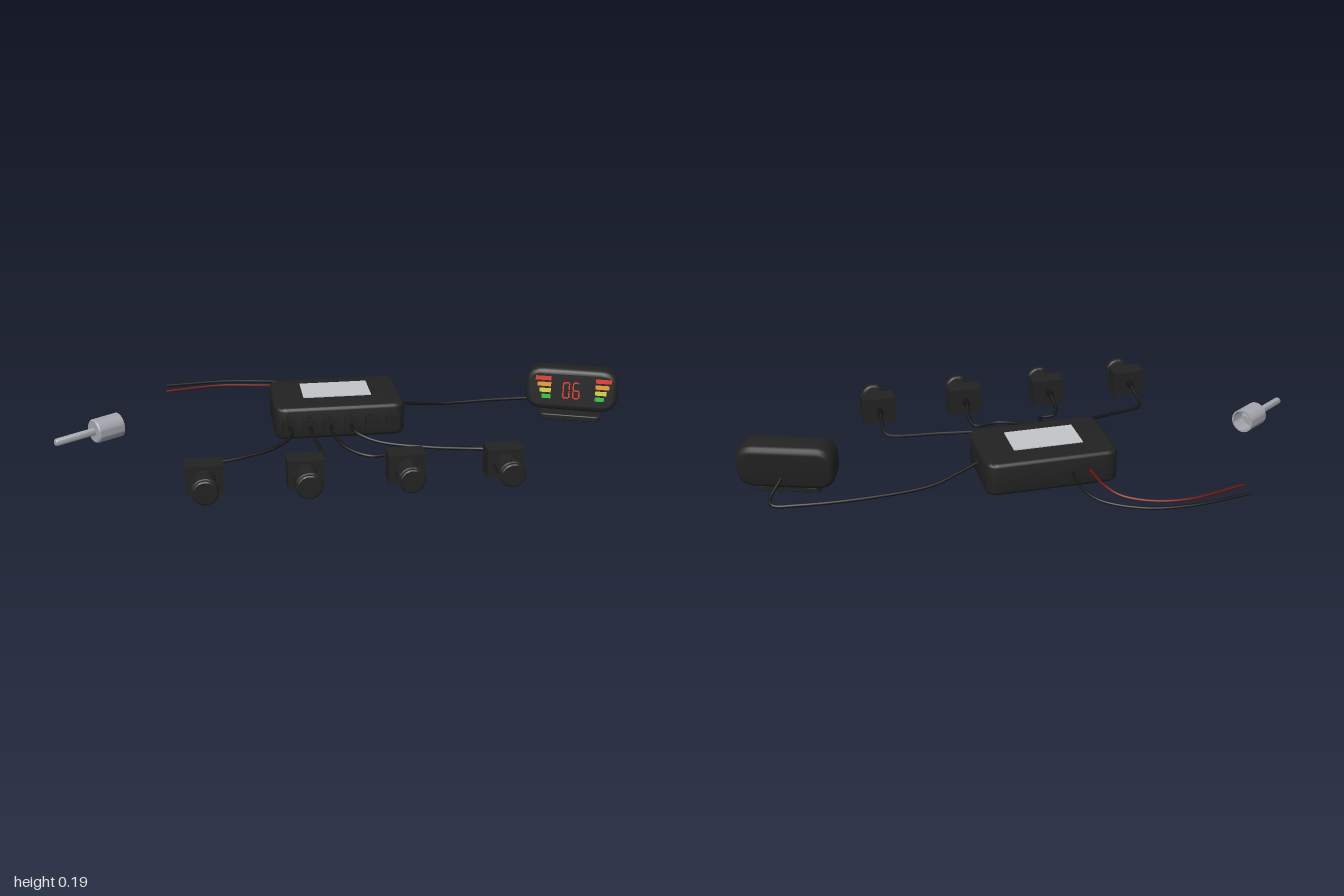
import * as THREE from 'three';
import { toCreasedNormals } from 'three/addons/utils/BufferGeometryUtils.js';

const mat = (name, color) => Object.assign(new THREE.MeshStandardMaterial({ color }), { name });

export function createModel() {
  const root = new THREE.Group();
  root.name = 'parkingSensorKit';
  const plastic = mat('black plastic', 0x222222);
  const rubber = mat('cable black', 0x151515);
  const glass = mat('screen black', 0x1a1a1a);
  const redWire = mat('red wire', 0x5e1512);
  const label = mat('label grey', 0xc2c6c8);
  const metal = mat('metal', 0xa4a7ae);
  const red = mat('red light', 0xe03a30);
  const orange = mat('orange light', 0xe89a35);
  const yellow = mat('yellow light', 0xd8d040);
  const green = mat('green light', 0x35c050);

  const add = (parent, name, geo, material, x = 0, y = 0, z = 0) => {
    const m = new THREE.Mesh(geo, material);
    m.name = name;
    m.position.set(x, y, z);
    parent.add(m);
    return m;
  };
  const box = (w, h, d) => new THREE.BoxGeometry(w, h, d);

  // Rounded rectangle slab with bevelled rims, centred, thickness along z
  const slab = (w, h, d, r, bevel) => {
    const a = w / 2 - bevel, b = h / 2 - bevel;
    const s = new THREE.Shape();
    s.moveTo(-a + r, -b);
    s.lineTo(a - r, -b).quadraticCurveTo(a, -b, a, -b + r);
    s.lineTo(a, b - r).quadraticCurveTo(a, b, a - r, b);
    s.lineTo(-a + r, b).quadraticCurveTo(-a, b, -a, b - r);
    s.lineTo(-a, -b + r).quadraticCurveTo(-a, -b, -a + r, -b);
    const g = new THREE.ExtrudeGeometry(s, {
      depth: d - 2 * bevel, bevelEnabled: bevel > 0, bevelSize: bevel,
      bevelThickness: bevel, bevelSegments: 3, curveSegments: 6,
    });
    g.translate(0, 0, -d / 2 + bevel);
    return toCreasedNormals(g, 0.6);
  };

  const lathe = (pts, n = 32) => toCreasedNormals(
    new THREE.LatheGeometry(pts.map(p => new THREE.Vector2(...p)), n), 0.6);

  const cable = (name, pts, material, r = 0.006) => {
    const curve = new THREE.CatmullRomCurve3(pts.map(p => new THREE.Vector3(...p)), false, 'centripetal');
    add(root, name, new THREE.TubeGeometry(curve, 60, r, 8), material);
  };

  // Control box with label and six sockets
  const control = new THREE.Group();
  control.name = 'controlBox';
  root.add(control);
  const caseGeo = slab(0.455, 0.295, 0.114, 0.03, 0.012).rotateX(-Math.PI / 2);
  add(control, 'case', caseGeo, plastic, -0.018, 0.057, -0.1275);
  add(control, 'labelPlate', box(0.24, 0.003, 0.138), label, -0.02, 0.123, -0.129);
  for (let i = 0; i < 6; i++) {
    const x = -0.2 + i * 0.0723;
    add(control, 'socket', box(0.046, 0.05, 0.03), plastic, x, 0.055, 0.027);
    add(control, 'socketLatch', box(0.018, 0.012, 0.022), plastic, x, 0.084, 0.027);
  }

  // Four bumper sensors
  const barrel = lathe([[0, 0], [0.037, 0], [0.037, 0.066], [0.044, 0.07], [0.044, 0.082],
    [0.04, 0.084], [0.04, 0.093], [0.036, 0.096], [0, 0.096]]).rotateX(Math.PI / 2);
  const stub = new THREE.CylinderGeometry(0.012, 0.012, 0.034, 16).rotateX(Math.PI / 2);
  for (const x of [-0.503, -0.182, 0.141, 0.463]) {
    const sensor = new THREE.Group();
    sensor.name = 'sensor';
    sensor.position.set(x, 0.057, 0);
    root.add(sensor);
    add(sensor, 'sensorBlock', box(0.12, 0.096, 0.07), plastic, 0, 0, 0.402);
    add(sensor, 'sensorBarrel', barrel, plastic, 0, 0, 0.437);
    add(sensor, 'cableStub', stub, rubber, 0, 0.003, 0.352);
    for (const s of [-1, 1])
      add(sensor, 'sideClip', box(0.006, 0.022, 0.055), plastic, s * 0.037, 0, 0.465);
  }

  // Sensor cables
  cable('sensorCable', [[-0.2, 0.055, 0.03], [-0.195, 0.05, 0.09], [-0.25, 0.032, 0.145], [-0.37, 0.022, 0.195],
    [-0.49, 0.02, 0.23], [-0.503, 0.025, 0.245], [-0.503, 0.06, 0.34]], rubber);
  cable('sensorCable', [[-0.127, 0.055, 0.03], [-0.124, 0.048, 0.1], [-0.105, 0.024, 0.19], [-0.108, 0.02, 0.232],
    [-0.165, 0.022, 0.24], [-0.182, 0.034, 0.27], [-0.182, 0.06, 0.34]], rubber);
  cable('sensorCable', [[-0.055, 0.055, 0.03], [-0.056, 0.05, 0.09], [-0.025, 0.032, 0.175], [0.05, 0.02, 0.235],
    [0.13, 0.02, 0.228], [0.147, 0.025, 0.25], [0.141, 0.06, 0.34]], rubber);
  cable('sensorCable', [[0.017, 0.055, 0.03], [0.02, 0.05, 0.09], [0.09, 0.032, 0.145], [0.26, 0.022, 0.195],
    [0.45, 0.02, 0.23], [0.466, 0.025, 0.245], [0.463, 0.06, 0.34]], rubber);

  // Power wires
  cable('blackPowerWire', [[-0.08, 0.057, -0.265], [-0.083, 0.045, -0.37], [-0.125, 0.032, -0.445],
    [-0.25, 0.022, -0.51], [-0.4, 0.021, -0.532], [-0.62, 0.023, -0.51]], rubber, 0.005);
  cable('redPowerWire', [[-0.14, 0.057, -0.265], [-0.16, 0.045, -0.37], [-0.2, 0.032, -0.43],
    [-0.29, 0.022, -0.472], [-0.41, 0.021, -0.49], [-0.62, 0.023, -0.45]], redWire, 0.005);

  // Display cable
  cable('displayCable', [[0.2, 0.06, -0.125], [0.28, 0.043, -0.155], [0.38, 0.024, -0.188], [0.6, 0.02, -0.21],
    [0.82, 0.02, -0.2], [0.9, 0.02, -0.18], [0.905, 0.03, -0.155], [0.855, 0.075, -0.09]], rubber);

  // Display on its foot, turned toward the box
  const display = new THREE.Group();
  display.name = 'display';
  display.position.set(0.832, 0, -0.063);
  display.rotation.y = -0.34;
  root.add(display);
  add(display, 'foot', slab(0.215, 0.1, 0.02, 0.015, 0.004).rotateX(-Math.PI / 2), plastic, 0, 0.022, 0.025);
  add(display, 'neck', box(0.13, 0.03, 0.05), plastic, 0, 0.038, 0);
  const head = new THREE.Group();
  head.name = 'displayHead';
  head.position.y = 0.112;
  head.rotation.x = -0.12;
  display.add(head);
  add(head, 'shell', slab(0.326, 0.154, 0.1, 0.042, 0.02), plastic);
  add(head, 'screen', slab(0.285, 0.112, 0.002, 0.03, 0), glass, 0, 0, 0.0505);

  // Light bars, mirrored about the digits
  const zFace = 0.0525;
  [red, orange, yellow, green].forEach((m, i) => {
    const w = 0.056 - i * 0.008;
    for (const s of [-1, 1])
      add(head, 'lightBar', box(w, 0.015, 0.002), m, 0.006 + s * (0.078 + w / 2), 0.04 - i * 0.022, zFace);
  });

  // Seven-segment readout: top, middle, bottom, then upper and lower sides
  const segments = [[0, 1], [0, 0], [0, -1], [-1, 0.5], [1, 0.5], [-1, -0.5], [1, -0.5]];
  [[-0.018, 1], [0.017, 4]].forEach(([cx, off]) => {
    segments.forEach(([sx, sy], i) => {
      if (i === off) return;
      add(head, 'readoutSegment', sx ? box(0.005, 0.025, 0.002) : box(0.018, 0.005, 0.002), red,
        cx + sx * 0.0105, sy * 0.028, zFace);
    });
  });

  // Hole saw: shank, cup and pilot bar
  const saw = new THREE.Group();
  saw.name = 'holeSaw';
  saw.position.set(-0.988, 0.058, 0.073);
  saw.rotation.y = 0.58;
  root.add(saw);
  add(saw, 'shankAndCup', lathe([[0, 0], [0.01, 0], [0.013, 0.005], [0.013, 0.147], [0.038, 0.147], [0.042, 0.152],
    [0.042, 0.245], [0.036, 0.245], [0.036, 0.19], [0, 0.19]]).rotateZ(-Math.PI / 2), metal);
  add(saw, 'pilotBar', box(0.02, 0.008, 0.05), metal, 0.198, 0, 0);

  return root;
}
